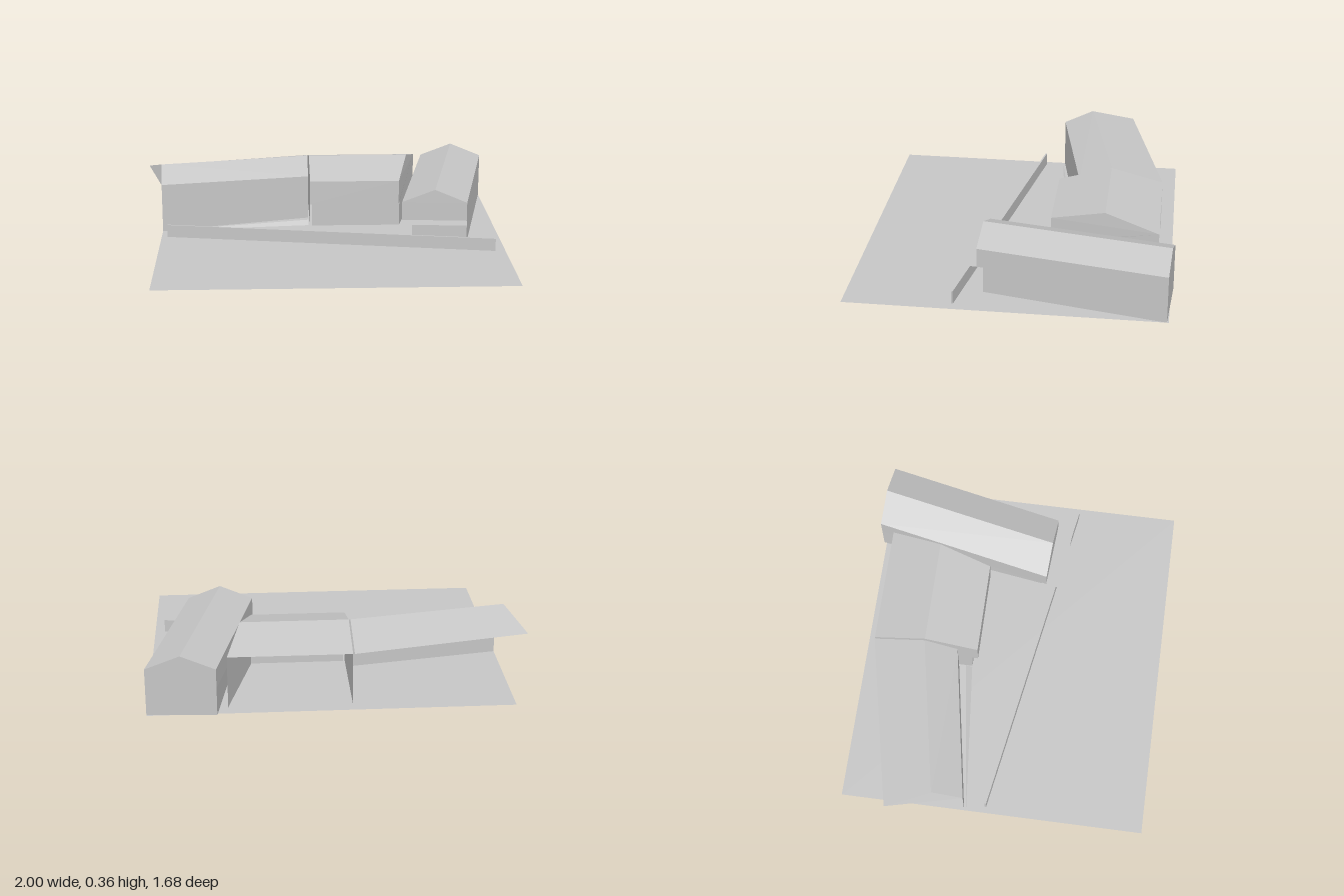
import * as THREE from 'three';

const concrete = new THREE.MeshStandardMaterial({ color: 0xc6c6c6, side: THREE.DoubleSide });
concrete.name = 'pale grey';

// The site rises gently toward the front.
const groundY = (z) => 0.0075 + 0.009 * z;
const at = (p, y) => [p[0], y, p[1]];
const foot = (p) => at(p, groundY(p[1]));

// Flat-shaded surface from a list of convex polygons.
function surface(name, polygons) {
  const pos = [];
  for (const p of polygons)
    for (let i = 1; i < p.length - 1; i++) pos.push(...p[0], ...p[i], ...p[i + 1]);
  const geo = new THREE.BufferGeometry();
  geo.setAttribute('position', new THREE.Float32BufferAttribute(pos, 3));
  geo.computeVertexNormals();
  const mesh = new THREE.Mesh(geo, concrete);
  mesh.name = name;
  return mesh;
}

// Upright wall between two plan points; a null bottom stands on the site.
const wall = (a, b, bottom, top) => [
  bottom === null ? foot(a) : at(a, bottom),
  bottom === null ? foot(b) : at(b, bottom),
  at(b, top), at(a, top),
];

// Two roof slopes over three lines running from end A to end B.
const roof = (eave1, ridge, eave2) => [
  [eave1[0], eave1[1], ridge[1], ridge[0]],
  [ridge[0], ridge[1], eave2[1], eave2[0]],
];

function group(name, ...parts) {
  const g = new THREE.Group();
  g.name = name;
  g.add(...parts);
  return g;
}

function leftHall() {
  const E = 0.28, R = 0.355, x = -0.067;
  const back = [at([-1.0, -0.555], E), at([x, -0.76], E)];
  const ridge = [at([-0.91, -0.31], R), at([x, -0.475], R)];
  const front = [at([-0.9, -0.145], E), at([x, -0.295], E)];
  // Low wedge-shaped step along the foot of the wall
  const a = [-0.89, 0.012, -0.135], inner = [x, 0.03, -0.295];
  const mid = [x, 0.03, -0.255], outer = [x, 0.008, -0.22];
  return group('leftHall',
    surface('leftHallRoof', roof(back, ridge, front)),
    surface('leftHallGable', [[back[0], ridge[0], front[0]]]),
    surface('leftHallFrontWall', [wall([-0.9, -0.145], [x, -0.295], null, E)]),
    surface('footStep', [[a, mid, inner], [a, outer, mid]]));
}

function middleHall() {
  const E = 0.28, R = 0.355, S = 0.145, x = -0.058;
  const b0 = [x, -0.76], b1 = [0.585, -0.76];
  const r0 = [x, -0.475], r1 = [0.515, -0.475];
  const f0 = [x, -0.185], f1 = [0.45, -0.185];
  const l0 = [x + 0.01, -0.22], l1 = [0.457, -0.22];
  const end = (b, r, f, l) =>
    [at(b, E), at(r, R), at(f, E), at(f, S), at(l, S), foot(l), foot(b)];
  // End walls fan from the back eave
  return group('middleHall',
    surface('middleRoof', roof([at(b0, E), at(b1, E)], [at(r0, R), at(r1, R)], [at(f0, E), at(f1, E)])),
    surface('middleEndWalls', [end(b0, r0, f0, [x, -0.22]), end(b1, r1, f1, l1)]),
    surface('middleUpperFront', [wall(f0, f1, S, E)]),
    surface('middleSoffit', [[at(f0, S), at(f1, S), at(l1, S), at(l0, S)]]),
    surface('middleLowerFront', [wall(l0, l1, null, S)]));
}

function rightWing() {
  const E = 0.253, R = 0.325, S = 0.15;
  const bl = [0.64, -0.845], bm = [0.82, -0.833], br = [1.0, -0.82];
  const fl = [0.44, 0.138], fm = [0.62, 0.15], fr = [0.797, 0.163];
  const ll = [0.5, 0.108], lr = [0.803, 0.13];
  const gable = (l, m, r) => [at(l, E), at(m, R), at(r, E)];
  return group('rightWing',
    surface('wingRoof', roof([at(bl, E), at(fl, E)], [at(bm, R), at(fm, R)], [at(br, E), at(fr, E)])),
    surface('wingGables', [gable(bl, bm, br), gable(fl, fm, fr)]),
    surface('wingUpperWalls', [wall(bl, fl, S, E), wall(fl, fr, S, E), wall(fr, br, S, E), wall(bl, br, S, E)]),
    surface('wingLowerWalls', [wall(bl, ll, null, S), wall(ll, lr, null, S), wall(lr, br, null, S), wall(bl, br, null, S)]),
    surface('wingSoffit', [[at(bl, S), at(fl, S), at(ll, S)], [at(fl, S), at(fr, S), at(lr, S), at(ll, S)]]),
    surface('entranceCanopy', [[at(fl, S), at([0.425, 0.222], S), at([0.787, 0.252], S), at(fr, S)]]));
}

// Long low boundary wall crossing the site at an angle
function boundaryWall() {
  const a = new THREE.Vector2(-0.865, -0.032), b = new THREE.Vector2(0.945, 0.27);
  const d = b.clone().sub(a);
  const mesh = new THREE.Mesh(new THREE.BoxGeometry(d.length(), 0.07, 0.009), concrete);
  mesh.position.set((a.x + b.x) / 2, 0.045, (a.y + b.y) / 2);
  mesh.rotation.y = -Math.atan2(d.y, d.x);
  mesh.name = 'boundaryWall';
  return mesh;
}

export function createModel() {
  const corners = [[-0.9, -0.83], [-0.9, 0.835], [1.0, 0.835], [1.0, -0.83]];
  return group('buildingSite',
    surface('ground', [corners.map(foot)]),
    leftHall(), middleHall(), rightWing(), boundaryWall());
}
